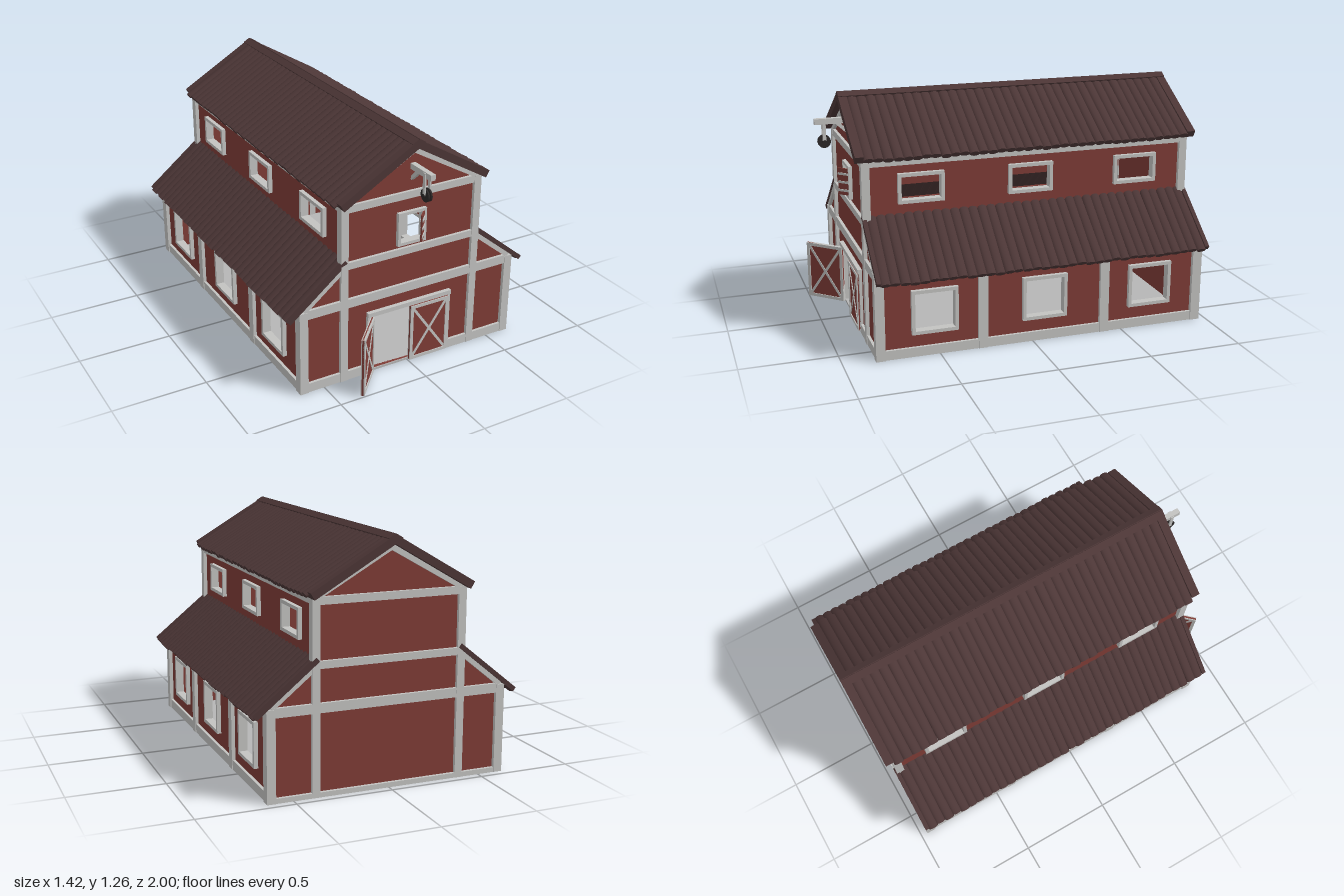
import * as THREE from 'three';

const mat = (name, color, side = THREE.FrontSide) => {
  const m = new THREE.MeshStandardMaterial({ color, side });
  m.name = name;
  return m;
};

export function createModel() {
  const red = mat('barn red', 0x7e3c36);
  const trim = mat('pale trim', 0xc2c2c0);
  const floorGrey = mat('floor grey', 0xb6b6b6);
  const roofBrown = mat('roof brown', 0x4c3636);
  const iron = mat('dark iron', 0x2c2828);

  const barn = new THREE.Group();
  barn.name = 'barn';
  const ZF = 0.815, ZB = -0.945, WALL = 0.02;
  let seed = 7;
  const rand = () => (seed = (seed * 16807) % 2147483647) / 2147483647 - 0.5;

  const add = (parent, name, geo, m, x = 0, y = 0, z = 0) => {
    const mesh = new THREE.Mesh(geo, m);
    mesh.name = name;
    mesh.position.set(x, y, z);
    parent.add(mesh);
    return mesh;
  };
  // box given by its lower and upper limits on each axis
  const box = (parent, name, m, x0, x1, y0, y1, z0, z1) =>
    add(parent, name, new THREE.BoxGeometry(x1 - x0, y1 - y0, z1 - z0), m,
      (x0 + x1) / 2, (y0 + y1) / 2, (z0 + z1) / 2);
  // flat beam between two points in the xy plane
  const beam = (parent, name, m, x0, y0, x1, y1, w, d, z) => {
    const mesh = add(parent, name, new THREE.BoxGeometry(Math.hypot(x1 - x0, y1 - y0), w, d), m,
      (x0 + x1) / 2, (y0 + y1) / 2, z);
    mesh.rotation.z = Math.atan2(y1 - y0, x1 - x0);
    return mesh;
  };
  const poly = pts => pts.map(([x, y]) => new THREE.Vector2(x, y));
  const rect = (x0, x1, y0, y1) => poly([[x0, y0], [x1, y0], [x1, y1], [x0, y1]]);
  const slab = (outline, holes, depth) => {
    const s = new THREE.Shape(outline);
    holes.forEach(h => s.holes.push(new THREE.Path(h)));
    return new THREE.ExtrudeGeometry(s, { depth, bevelEnabled: false });
  };
  const frame = (x0, x1, y0, y1, w, d) =>
    slab(rect(x0, x1, y0, y1), [rect(x0 + w, x1 - w, y0 + w, y1 - w)], d);

  // floor
  box(barn, 'floor', floorGrey, -0.62, 0.62, 0, 0.012, -0.95, 0.82);

  // end walls
  const half = [[0.615, 0.005], [0.615, 0.47], [0.385, 0.65], [0.385, 0.98]];
  const gable = poly([...half, [0, 1.2], ...half.map(([x, y]) => [-x, y]).reverse()]);
  add(barn, 'frontWall', slab(gable, [rect(-0.235, 0.235, 0.012, 0.335), rect(-0.07, 0.067, 0.705, 0.857)], WALL),
    red, 0, 0, ZF - WALL);
  add(barn, 'backWall', slab(gable, [], WALL), red, 0, 0, ZB);

  // side walls with window holes and frames
  const centres = [0.525, -0.065, -0.66];
  const sideWall = (name, X, y0, y1, wy0, wy1) => {
    for (const s of [1, -1]) {
      const place = (n, geo, m, outer, d) => {
        const mesh = add(barn, n, geo, m, s > 0 ? outer : -outer + d, 0, 0);
        mesh.rotation.y = -Math.PI / 2;
      };
      const holes = centres.map(c => rect(c - 0.108, c + 0.108, wy0 + 0.012, wy1 - 0.012));
      place(name, slab(rect(ZB, ZF, y0, y1), holes, WALL), red, X, WALL);
      centres.forEach(c => place('windowFrame', frame(c - 0.122, c + 0.122, wy0, wy1, 0.018, 0.045), trim, X + 0.022, 0.045));
    }
  };
  sideWall('lowerSideWall', 0.615, 0.005, 0.47, 0.12, 0.355);
  sideWall('upperSideWall', 0.385, 0.62, 0.98, 0.74, 0.898);

  // trim on both end walls
  for (const [z0, z1] of [[0.81, 0.832], [-0.962, -0.94]]) {
    const zc = (z0 + z1) / 2;
    box(barn, 'lowerBand', trim, -0.6, 0.6, 0.42, 0.468, z0, z1 - 0.001);
    box(barn, 'middleBand', trim, -0.38, 0.38, 0.635, 0.672, z0, z1 - 0.001);
    box(barn, 'upperBand', trim, -0.38, 0.38, 0.94, 0.978, z0, z1 - 0.001);
    for (const s of [1, -1]) {
      beam(barn, 'gableTrim', trim, s * 0.4, 0.965, 0, 1.192, 0.028, 0.02, zc);
      beam(barn, 'aisleTrim', trim, s * 0.61, 0.465, s * 0.39, 0.642, 0.026, 0.02, zc);
      const inner = z0 > 0 ? 0.235 : 0;
      box(barn, 'baseBoard', trim, Math.min(s * inner, s * 0.6), Math.max(s * inner, s * 0.6), 0, z0 > 0 ? 0.05 : 0.025, z0, z1 - 0.002);
    }
  }

  // posts and boards along both sides
  for (const s of [1, -1]) {
    const side = (name, a, b, y0, y1, z0, z1) =>
      box(barn, name, trim, Math.min(s * a, s * b), Math.max(s * a, s * b), y0, y1, z0, z1);
    side('cornerPost', 0.59, 0.636, 0, 0.462, 0.785, 0.834);
    side('cornerPost', 0.59, 0.636, 0, 0.462, -0.964, -0.912);
    side('sidePost', 0.61, 0.634, 0, 0.45, 0.245, 0.295);
    side('sidePost', 0.61, 0.634, 0, 0.45, -0.425, -0.375);
    side('sideBase', 0.61, 0.63, 0, 0.05, -0.95, 0.82);
    side('sideTopBoard', 0.61, 0.63, 0.42, 0.465, -0.95, 0.82);
    side('navePost', 0.365, 0.406, 0, 0.978, 0.79, 0.833);
    side('navePost', 0.365, 0.406, 0, 0.978, -0.963, -0.92);
    side('eaveBoard', 0.38, 0.402, 0.942, 0.975, -0.95, 0.82);
  }

  // corrugated roof slope: decking, rounded ribs and an end board at each gable
  const slope = (name, s, x0, y0, x1, y1, z0, z1, thick, edge, over) => {
    const g = new THREE.Group();
    g.name = name;
    const L = Math.hypot(x1 - x0, y1 - y0);
    g.position.set(s * x0, y0, 0);
    g.rotation.z = s * Math.atan2(y1 - y0, x1 - x0);
    const part = (n, a, b, ya, yb, za, zb) =>
      box(g, n, roofBrown, Math.min(s * a, s * b), Math.max(s * a, s * b), ya, yb, za, zb);
    part('decking', 0, L, -thick, -0.014, z0 + edge / 2, z1 - edge / 2);
    part('endBoard', 0, L, -thick - 0.002, 0, z1 - edge, z1);
    part('endBoard', 0, L, -thick - 0.002, 0, z0, z0 + edge);
    const n = 36, a = z0 + edge, step = (z1 - z0 - 2 * edge) / n;
    for (let i = 0; i < n; i++) {
      const len = L + over + rand() * 0.008;
      const geo = new THREE.CylinderGeometry(step * 0.54, step * 0.54, len, 12);
      geo.rotateZ(Math.PI / 2).scale(1, 0.55, 1);
      const rib = add(g, 'rib', geo, roofBrown, s * len / 2, -0.015 + rand() * 0.003, a + step * (i + 0.5));
      rib.rotation.y = rand() * 0.02;
    }
    barn.add(g);
  };
  for (const s of [1, -1]) {
    slope('upperRoof', s, 0, 1.255, 0.428, 1.005, -1, 0.865, 0.038, 0.045, 0.018);
    slope('lowerRoof', s, 0.385, 0.692, 0.7, 0.438, -0.97, 0.833, 0.022, 0.022, 0.008);
    // ridge cap
    beam(barn, 'ridgeCap', roofBrown, 0, 1.253, s * 0.034, 1.233, 0.012, 1.865, -0.0675);
  }

  // barn doors with cross bracing on both faces; x runs from the hinge
  const door = (name, x, z, turn) => {
    const g = new THREE.Group();
    g.name = name;
    const w = 0.232, y0 = 0.008, y1 = 0.328;
    box(g, 'doorPanel', red, 0, w, y0, y1, -0.005, 0.005);
    add(g, 'doorFrame', frame(0, w, y0, y1, 0.017, 0.02), trim, 0, 0, -0.01);
    beam(g, 'brace', trim, 0.012, y0 + 0.012, w - 0.012, y1 - 0.012, 0.014, 0.016, 0);
    beam(g, 'brace', trim, 0.012, y1 - 0.012, w - 0.012, y0 + 0.012, 0.014, 0.017, 0);
    g.position.set(x, 0, z);
    g.rotation.y = turn;
    barn.add(g);
  };
  door('closedDoor', 0.002, 0.832, 0);
  door('openDoor', -0.218, 0.828, Math.PI + 0.82);
  box(barn, 'doorLintel', trim, -0.25, 0.25, 0.333, 0.356, 0.79, 0.838);
  for (const s of [1, -1]) box(barn, 'doorJamb', trim, s * 0.242 - 0.008, s * 0.242 + 0.008, 0, 0.34, 0.79, 0.83);

  // loft window with an open shutter
  add(barn, 'loftWindowFrame', frame(-0.085, 0.08, 0.69, 0.87, 0.016, 0.045), trim, 0, 0, 0.79);
  const shutter = new THREE.Group();
  shutter.name = 'loftShutter';
  box(shutter, 'shutterPanel', red, -0.065, 0, 0.71, 0.855, -0.004, 0.004);
  for (const y of [0.735, 0.78, 0.825]) box(shutter, 'shutterRung', trim, -0.064, -0.002, y - 0.006, y + 0.006, -0.008, 0.008);
  shutter.position.set(0.066, 0, 0.83);
  shutter.rotation.y = 0.8;
  barn.add(shutter);

  // hay hoist
  const hoist = new THREE.Group();
  hoist.name = 'hayHoist';
  box(hoist, 'hoistBeam', trim, -0.014, 0.014, 1.09, 1.12, 0.8, 0.99);
  const strut = add(hoist, 'hoistBrace', new THREE.BoxGeometry(0.02, 0.018, 0.09), trim, 0, 1.068, 0.845);
  strut.rotation.x = -0.75;
  for (const s of [1, -1]) {
    box(hoist, 'hoistHanger', trim, s * 0.015 - 0.004, s * 0.015 + 0.004, 1.0, 1.115, 0.932, 0.95);
    const wheel = add(hoist, 'pulleyRim', new THREE.CylinderGeometry(0.034, 0.034, 0.008, 24), iron, s * 0.008, 0.998, 0.941);
    wheel.rotation.z = Math.PI / 2;
  }
  const axle = add(hoist, 'pulleyAxle', new THREE.CylinderGeometry(0.01, 0.01, 0.044, 12), iron, 0, 0.998, 0.941);
  axle.rotation.z = Math.PI / 2;
  barn.add(hoist);

  return barn;
}
